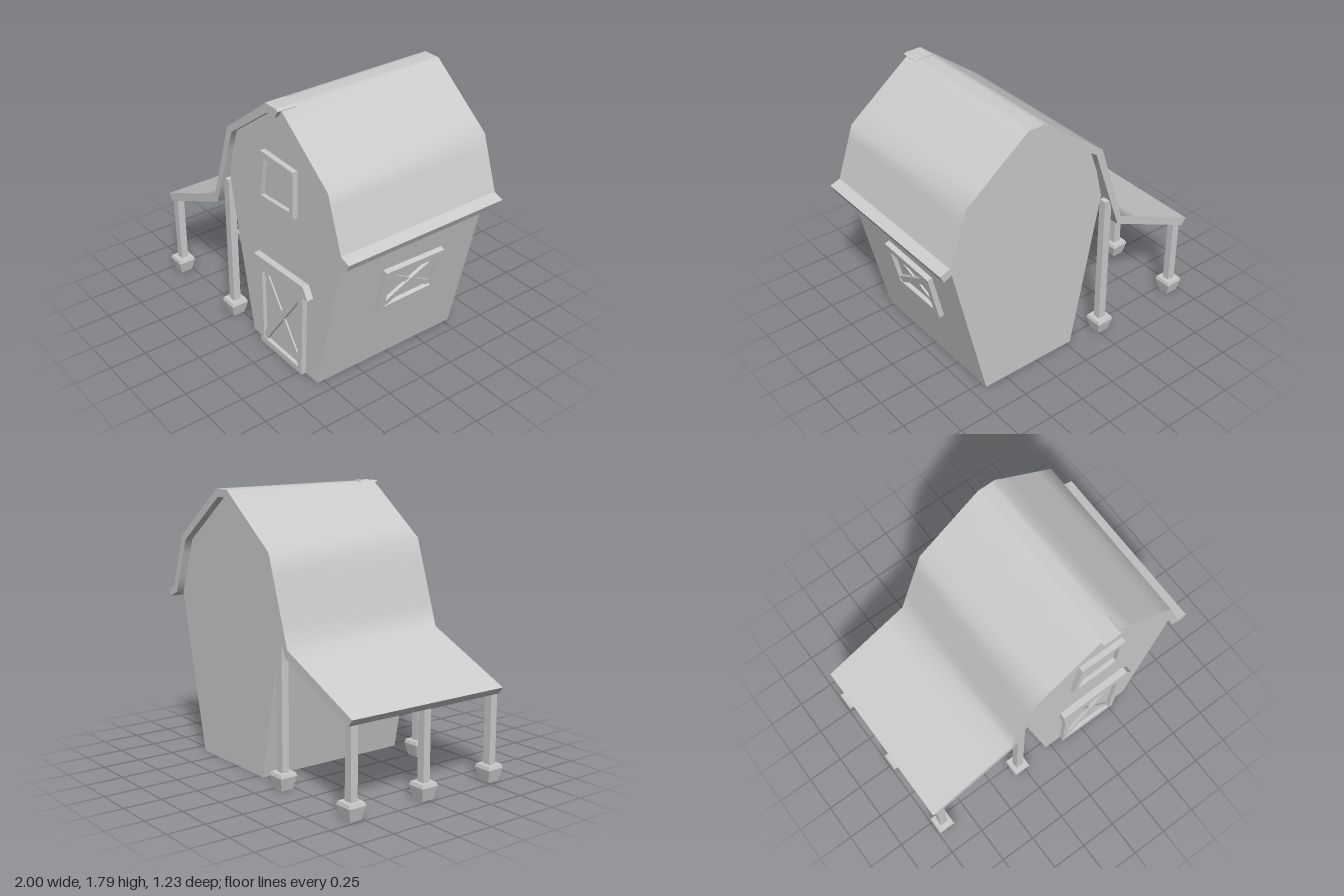
import * as THREE from 'three';
import { toCreasedNormals } from 'three/addons/utils/BufferGeometryUtils.js';

const clay = new THREE.MeshStandardMaterial({ color: 0xcccccc });
clay.name = 'plain grey';

const toVectors = (pts) => pts.map(([x, y]) => new THREE.Vector2(x, y));

// Outline in the xy plane extruded from z0 to z1, with an optional hole
function slab(name, pts, z0, z1, hole, crease = 0.3) {
  const shape = new THREE.Shape(toVectors(pts));
  if (hole) shape.holes.push(new THREE.Path(toVectors(hole)));
  const geo = new THREE.ExtrudeGeometry(shape, { depth: z1 - z0, bevelEnabled: false });
  geo.translate(0, 0, z0);
  const mesh = new THREE.Mesh(toCreasedNormals(geo, crease), clay);
  mesh.name = name;
  return mesh;
}

// Straight board between two points, w wide
function board(name, [ax, ay], [bx, by], w, z0, z1) {
  const l = Math.hypot(bx - ax, by - ay);
  const nx = (-(by - ay) / l) * w / 2, ny = ((bx - ax) / l) * w / 2;
  return slab(name, [[ax - nx, ay - ny], [bx - nx, by - ny], [bx + nx, by + ny], [ax + nx, ay + ny]], z0, z1);
}

// Adds support points beside each bend so that only the bends look rounded
function soften(pts) {
  const out = [];
  pts.forEach(([x, y], i) => {
    out.push([x, y]);
    const n = pts[i + 1];
    if (n) for (const t of [0.25, 0.75]) out.push([x + (n[0] - x) * t, y + (n[1] - y) * t]);
  });
  return out;
}

// Square post on a tapered foot
function post(x, z, height) {
  const g = new THREE.Group();
  g.name = 'post';
  const shaft = new THREE.Mesh(new THREE.BoxGeometry(0.055, height - 0.08, 0.05), clay);
  shaft.name = 'postShaft';
  shaft.position.y = (height + 0.08) / 2;
  g.add(shaft);
  const ring = (name, top, bottom, y0, y1) => {
    const geo = new THREE.CylinderGeometry(top * Math.SQRT2, bottom * Math.SQRT2, y1 - y0, 4).rotateY(Math.PI / 4);
    const m = new THREE.Mesh(toCreasedNormals(geo, 0.3), clay);
    m.name = name;
    m.position.y = (y0 + y1) / 2;
    g.add(m);
  };
  ring('footBase', 0.061, 0.042, 0, 0.085);
  ring('footTop', 0.054, 0.061, 0.085, 0.108);
  g.position.set(x, 0, z);
  return g;
}

export function createModel() {
  const barn = new THREE.Group();
  barn.name = 'barn';

  // Body, narrow at the ground and flaring to the eaves
  barn.add(slab('body', [[-0.04, 0], [0.655, 0], [0.9, 1.07], [0.78, 1.435], [0.36, 1.76],
    [0.26, 1.76], [-0.17, 1.435], [-0.255, 1.07]], -0.545, 0.545));

  // Gambrel roof sweeping out over the lean-to on one side
  const outer = [[-1, 0.605], [-0.385, 0.89], [-0.2, 1.45], [0.25, 1.79], [0.37, 1.79],
    [0.81, 1.45], [0.93, 1.1], [1, 1.075]];
  const inner = [[0.975, 1.025], [0.892, 1.065], [0.762, 1.43], [0.35, 1.74], [0.27, 1.74],
    [-0.152, 1.43], [-0.36, 0.84], [-0.965, 0.56]];
  barn.add(slab('roof', [...soften(outer), ...soften(inner)], -0.597, 0.585, null, 0.85));
  barn.add(slab('ridgeEnd', [[0.27, 1.737], [0.35, 1.737], [0.385, 1.785], [0.365, 1.795],
    [0.26, 1.795], [0.245, 1.785]], 0.48, 0.612));

  // Posts under the lean-to
  for (const z of [0.55, 0, -0.55]) barn.add(post(-0.935, z, 0.6));
  barn.add(post(-0.282, 0.535, 1.04), post(-0.282, -0.56, 1.04));

  // Front door with cross braces and a slanted lintel
  const door = new THREE.Group();
  door.name = 'door';
  door.add(
    slab('doorPanel', [[0.1, 0], [0.53, 0], [0.54, 0.64], [0.09, 0.62]], 0.53, 0.552),
    slab('doorFrame', [[0.085, 0], [0.53, 0], [0.555, 0.64], [0.08, 0.62]], 0.53, 0.578,
      [[0.122, 0.045], [0.49, 0.042], [0.508, 0.6], [0.122, 0.58]]),
    board('doorBraceBack', [0.125, 0.57], [0.49, 0.05], 0.04, 0.545, 0.562),
    board('doorBrace', [0.125, 0.055], [0.505, 0.59], 0.045, 0.545, 0.572),
    slab('lintel', [[0.05, 0.57], [0.615, 0.618], [0.57, 0.695], [0.05, 0.668]], 0.53, 0.59),
  );
  barn.add(door);

  // Crooked loft window
  const loft = new THREE.Group();
  loft.name = 'loftWindow';
  loft.add(
    slab('loftFrame', [[0.103, 1.088], [0.467, 1.112], [0.47, 1.425], [0.145, 1.432]], 0.53, 0.58,
      [[0.14, 1.125], [0.43, 1.143], [0.43, 1.387], [0.18, 1.387]]),
    slab('loftPane', [[0.13, 1.11], [0.45, 1.13], [0.45, 1.4], [0.165, 1.4]], 0.53, 0.552),
  );
  barn.add(loft);

  // Side window lying on the leaning wall: local x runs to the back, local z outwards
  const side = new THREE.Group();
  side.name = 'sideWindow';
  side.add(
    slab('sideFrame', [[-0.195, 0.472], [0.265, 0.472], [0.265, 0.808], [-0.195, 0.822]], -0.01, 0.035,
      [[-0.15, 0.518], [0.22, 0.525], [0.22, 0.762], [-0.15, 0.77]]),
    slab('sidePane', [[-0.17, 0.5], [0.24, 0.5], [0.24, 0.78], [-0.17, 0.78]], -0.01, 0.006),
    board('sideBraceBack', [-0.145, 0.755], [0.215, 0.535], 0.035, 0, 0.018),
    board('sideBrace', [-0.145, 0.53], [0.215, 0.755], 0.045, 0, 0.028),
  );
  side.position.x = 0.655;
  side.rotation.set(0, Math.PI / 2, -Math.atan(0.229), 'ZYX');
  barn.add(side);

  return barn;
}
